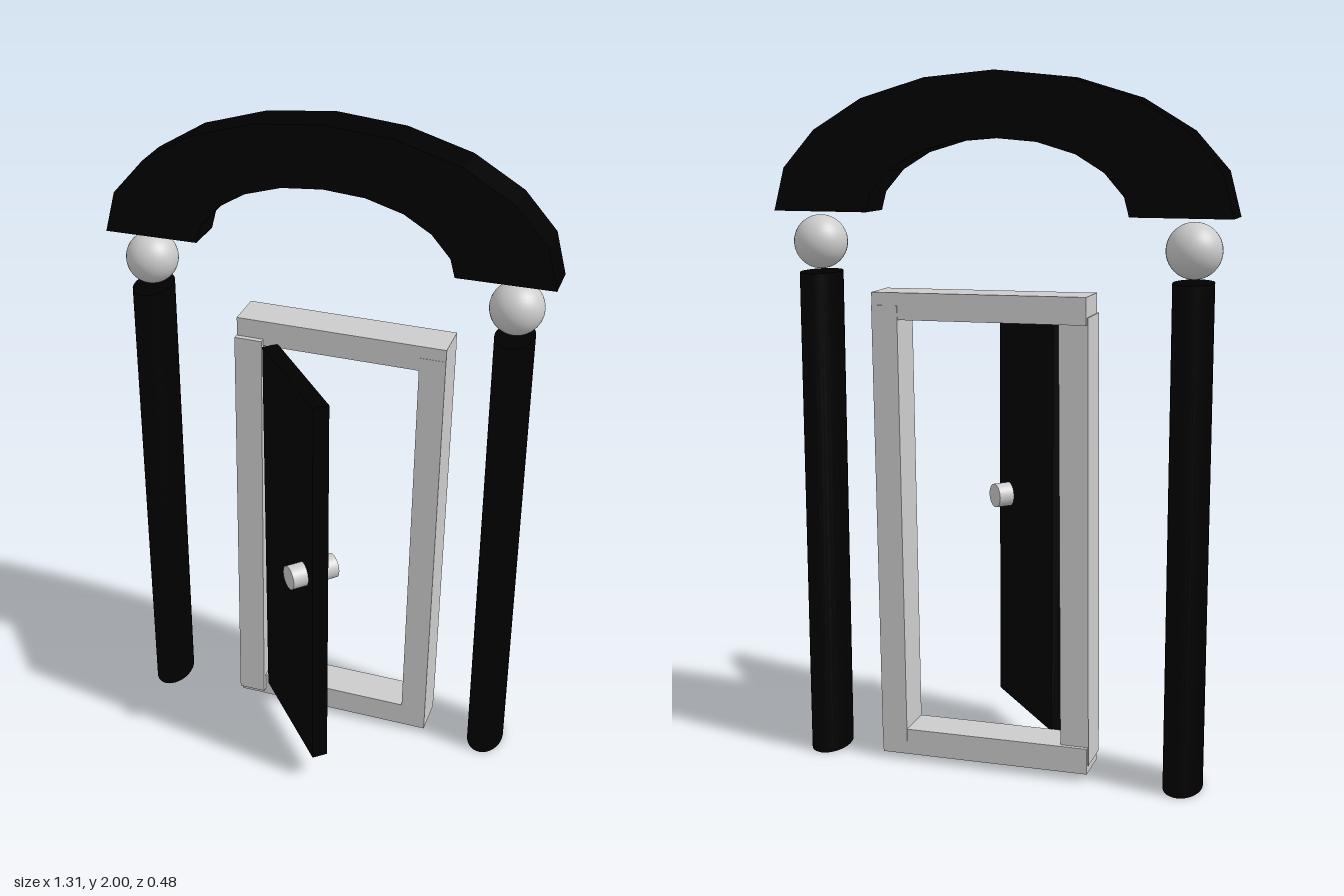
import * as THREE from 'three';

const black = new THREE.MeshStandardMaterial({ color: 0x000000 });
const grey = new THREE.MeshStandardMaterial({ color: 0xcccccc });

function add(parent, name, geometry, material, x = 0, y = 0, z = 0) {
  const mesh = new THREE.Mesh(geometry, material);
  mesh.name = name;
  mesh.position.set(x, y, z);
  parent.add(mesh);
  return mesh;
}

// Half outline from the foot of the arch up to its crown, mirrored to the other side
function mirrored(half) {
  return [...half, ...half.slice(0, -1).reverse().map(([x, y]) => [-x, y])];
}

function archGeometry(depth) {
  const outer = mirrored([[-0.656, 1.614], [-0.624, 1.735], [-0.53, 1.84], [-0.386, 1.926], [-0.2, 1.981], [0, 2]]);
  const inner = mirrored([[-0.376, 1.614], [-0.362, 1.667], [-0.307, 1.73], [-0.228, 1.778], [-0.12, 1.81], [0, 1.82]]);
  const outline = [...outer, ...inner.reverse()].map(([x, y]) => new THREE.Vector2(x, y));
  return new THREE.ExtrudeGeometry(new THREE.Shape(outline), { depth, bevelEnabled: false });
}

export function createModel() {
  const model = new THREE.Group();
  model.name = 'archedDoorway';

  // Arch floating above the columns
  add(model, 'arch', archGeometry(0.12), black, 0, 0, -0.214);

  // Oval columns, each topped by a ball
  for (const [side, s] of [['left', 1], ['right', -1]]) {
    const column = add(model, side + 'Column', new THREE.CylinderGeometry(1, 1, 1.44, 32), black, s * 0.542, 0.72, -0.152);
    column.scale.set(0.056, 1, 0.088);
    add(model, side + 'Ball', new THREE.SphereGeometry(0.077, 32, 20), grey, s * 0.542, 1.525, -0.152);
  }

  // Door frame, leaning very slightly to one side
  const frame = new THREE.Group();
  frame.name = 'doorFrame';
  frame.position.set(0.045, 0.708, -0.155);
  frame.rotation.z = -0.01;
  model.add(frame);
  add(frame, 'topBar', new THREE.BoxGeometry(0.625, 0.077, 0.118), grey, 0, 0.648, 0);
  add(frame, 'bottomBar', new THREE.BoxGeometry(0.625, 0.077, 0.118), grey, 0, -0.648, 0);
  add(frame, 'leftPost', new THREE.BoxGeometry(0.077, 1.3, 0.122), grey, 0.274, 0, -0.001);
  add(frame, 'rightPost', new THREE.BoxGeometry(0.083, 1.295, 0.122), grey, -0.273, -0.018, 0.014);

  // Door swung open, with a knob running through it
  const door = new THREE.Group();
  door.name = 'door';
  door.position.set(-0.028, 0.712, 0.066);
  door.rotation.y = -0.868;
  model.add(door);
  add(door, 'doorPanel', new THREE.BoxGeometry(0.393, 1.235, 0.048), black);
  const knob = add(door, 'doorKnob', new THREE.CylinderGeometry(0.036, 0.036, 0.147, 32), grey, 0.125, 0.032, 0);
  knob.rotation.set(Math.PI / 2, 0, -0.08);

  return model;
}
